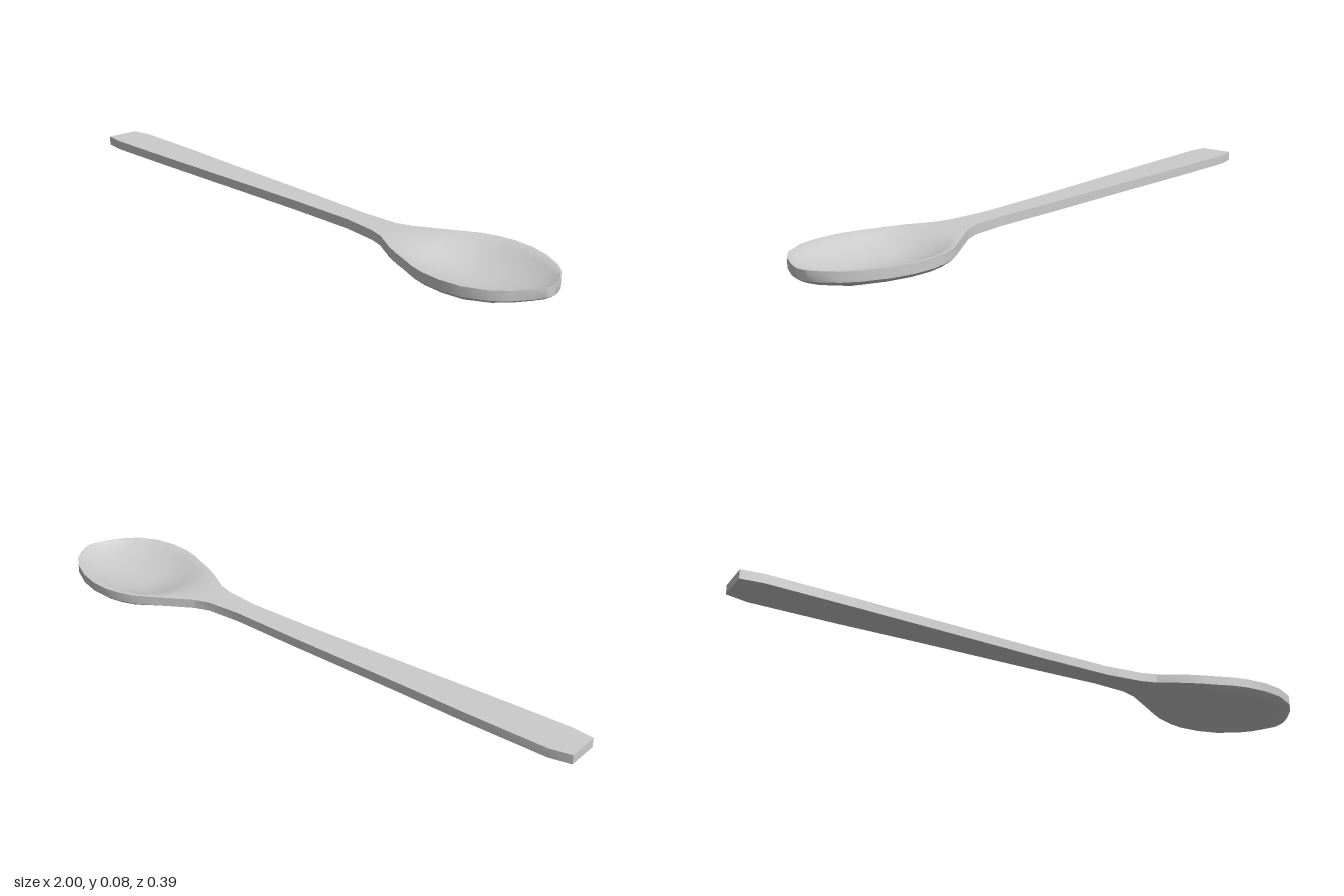
import * as THREE from 'three';
import { mergeGeometries, toCreasedNormals } from 'three/addons/utils/BufferGeometryUtils.js';

const TOP = 0.082, EDGE = 0.052;

// Cross-sections along the spoon: x, back edge z, front edge z, keel height y, hollow depth
const HANDLE = [
  [-1, -0.065, 0.045, EDGE, 0],
  [-0.93, -0.08, 0.055, EDGE, 0],
  [-0.65, -0.075, 0.051, EDGE, 0],
  [-0.4, -0.065, 0.045, EDGE, 0],
  [0, -0.054, 0.035, EDGE, 0],
  [0.25, -0.044, 0.035, EDGE, 0],
  [0.37, -0.05, 0.05, EDGE, 0],
  [0.42, -0.067, 0.066, EDGE, 0],
];
const BOWL = [
  [0.42, -0.067, 0.066, EDGE, 0],
  [0.5, -0.115, 0.112, 0.043, 0.002],
  [0.55, -0.146, 0.135, 0.028, 0.017],
  [0.6, -0.175, 0.154, 0.012, 0.034],
  [0.65, -0.19, 0.175, 0.002, 0.046],
  [0.7, -0.198, 0.188, 0, 0.05],
  [0.77, -0.193, 0.194, 0, 0.05],
  [0.84, -0.172, 0.185, 0.001, 0.046],
  [0.91, -0.134, 0.152, 0.018, 0.034],
  [0.95, -0.1, 0.11, 0.029, 0.022],
  [0.98, -0.057, 0.06, 0.04, 0.01],
  [0.995, -0.024, 0.027, 0.048, 0.002],
  [1, -0.008, 0.01, EDGE, 0],
];

// Positions across a section, from back edge (-1) to front edge (1)
const ACROSS = [-1, -0.93, -0.8, -0.6, -0.4, -0.15, 0, 0.15, 0.4, 0.6, 0.8, 0.93, 1];

// Hull: a flat keel, straight flanks and a rounded edge
function hull(u) {
  const a = Math.abs(u);
  if (a < 0.15) return 1;
  if (a < 0.93) return 1 - 0.78 * (a - 0.15) / 0.78;
  return 0.22 * (1 - a) / 0.07;
}

// Hollow: a shallow dish inside a narrow flat rim
const dish = u => Math.max(0, 1 - (u / 0.93) ** 2);

// Surface through rows of points; it faces (column direction) x (row direction)
function grid(rows) {
  const n = rows[0].length, index = [];
  for (let i = 0; i < rows.length - 1; i++) {
    for (let j = 0; j < n - 1; j++) {
      const a = i * n + j, b = a + 1, c = a + n, d = c + 1;
      index.push(a, b, c, b, d, c);
    }
  }
  const g = new THREE.BufferGeometry();
  g.setAttribute('position', new THREE.Float32BufferAttribute(rows.flat(2), 3));
  g.setIndex(index);
  return g.toNonIndexed();
}

// Upper face, underside and edge walls of a run of sections
function body(name, sections, endSection, endSign) {
  const top = sections.map(([x, z0, z1, , dent]) => ACROSS.map(u =>
    [x, TOP - dent * dish(u), THREE.MathUtils.lerp(z0, z1, (u + 1) / 2)]));
  const under = sections.map(([x, z0, z1, keel]) => ACROSS.map(u =>
    [x, EDGE - (EDGE - keel) * hull(u), THREE.MathUtils.lerp(z0, z1, (u + 1) / 2)]));
  const last = ACROSS.length - 1;
  const column = (rows, j) => rows.map(r => r[j]);

  // End cap closes the free end
  const cap = [under.at(endSection), top.at(endSection)];
  if (endSign > 0) cap.reverse();

  const parts = [
    grid(top),
    grid([...under].reverse()),
    grid([column(under, last), column(top, last)]),
    grid([column(top, 0), column(under, 0)]),
    grid(cap.map(row => endSign > 0 ? row : [...row])),
  ];
  const geometry = toCreasedNormals(mergeGeometries(parts), 0.6);
  const mesh = new THREE.Mesh(geometry, new THREE.MeshStandardMaterial({
    color: 0xcccccc, roughness: 0.7, side: THREE.DoubleSide,
  }));
  mesh.name = name;
  return mesh;
}

export function createModel() {
  const spoon = new THREE.Group();
  spoon.name = 'spoon';
  spoon.add(body('handle', HANDLE, 0, -1), body('bowl', BOWL, -1, 1));
  return spoon;
}
